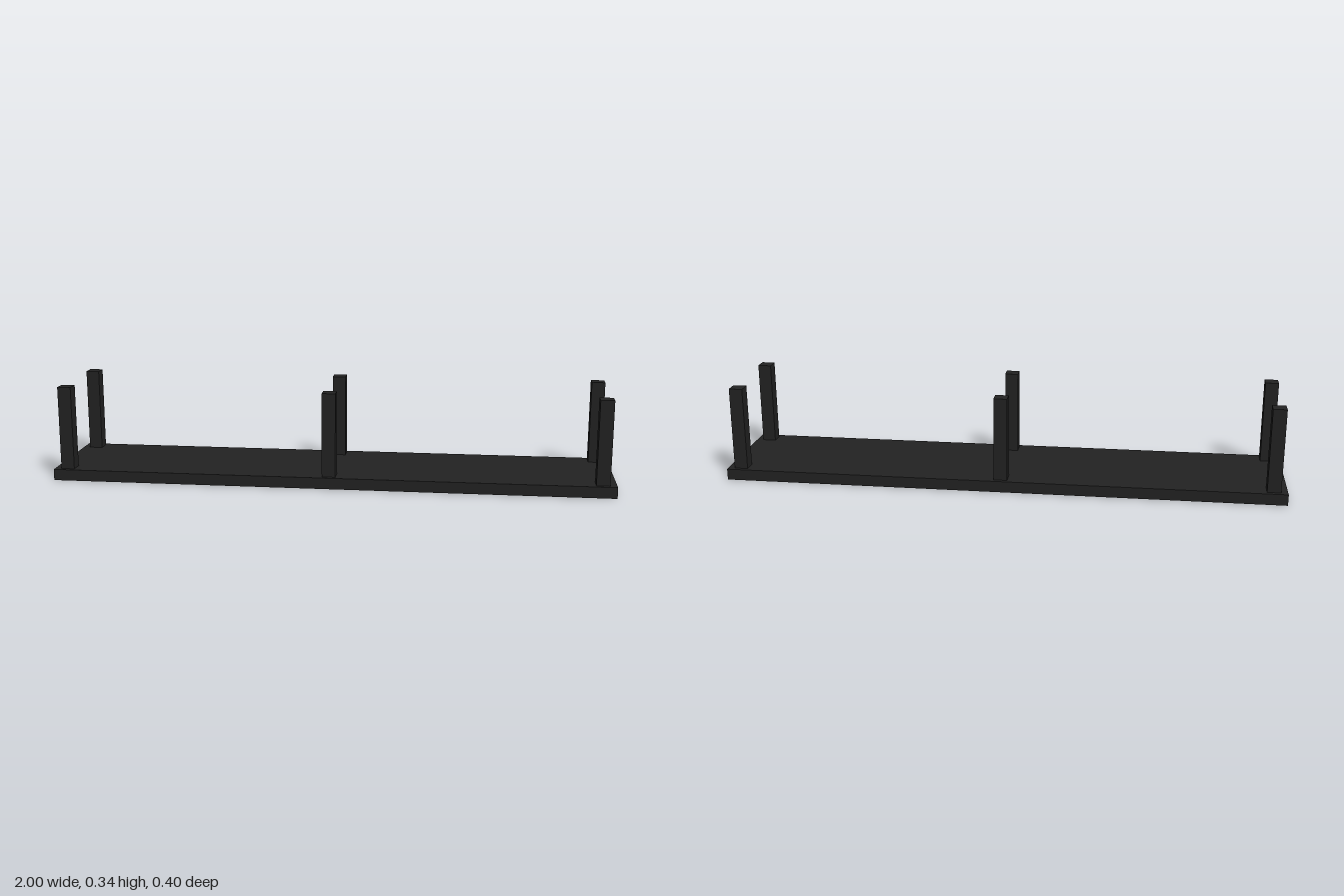
import * as THREE from 'three';

export function createModel() {
  const model = new THREE.Group();
  model.name = 'platformWithPosts';
  const material = new THREE.MeshStandardMaterial({ color: 0x222222 });

  const baseHeight = 0.04;
  const postHeight = 0.3;
  const postWidth = 0.048;

  // Flat rectangular base
  const base = new THREE.Mesh(new THREE.BoxGeometry(2, baseHeight, 0.4), material);
  base.name = 'base';
  base.position.y = baseHeight / 2;
  model.add(base);

  // Two rows of three square posts, standing on the base
  const postGeometry = new THREE.BoxGeometry(postWidth, postHeight, postWidth);
  const columns = { Right: -0.952, Middle: 0, Left: 0.952 };
  const rows = { front: 0.161, back: -0.161 };
  for (const [row, z] of Object.entries(rows)) {
    for (const [column, x] of Object.entries(columns)) {
      const post = new THREE.Mesh(postGeometry, material);
      post.name = `${row}${column}Post`;
      post.position.set(x, baseHeight + postHeight / 2, z);
      model.add(post);
    }
  }

  return model;
}
